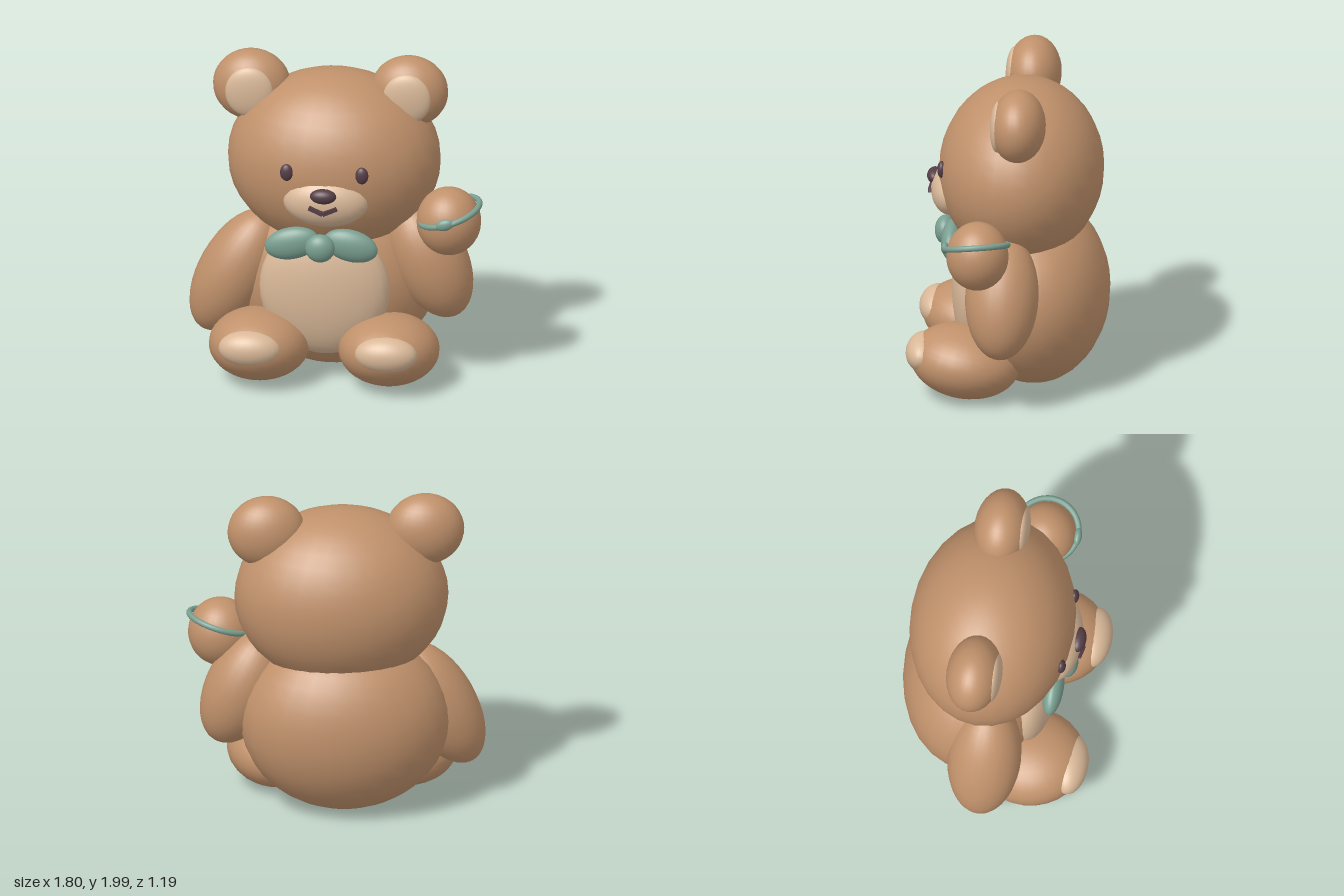
import * as THREE from 'three';

const paint = (name, color) => {
  const m = new THREE.MeshStandardMaterial({ color });
  m.name = name;
  return m;
};

export function createModel() {
  const fur = paint('brown fur', 0xc0916b);
  const cream = paint('cream plush', 0xd9b898);
  const dark = paint('dark plum', 0x553e46);
  const green = paint('sage green', 0x7a9f91);

  const bear = new THREE.Group();
  bear.name = 'teddyBear';

  const add = (name, geometry, material, pos, rot = [0, 0, 0]) => {
    const mesh = new THREE.Mesh(geometry, material);
    mesh.name = name;
    mesh.position.set(...pos);
    mesh.rotation.set(...rot);
    bear.add(mesh);
    return mesh;
  };
  // Stuffed part: an ellipsoid given by centre, radii and rotation
  const puff = (name, material, pos, radii, rot) =>
    add(name, new THREE.SphereGeometry(1, 28, 20).scale(...radii), material, pos, rot);

  // Torso and head
  puff('body', fur, [-0.05, 0.57, -0.15], [0.63, 0.56, 0.447]);
  puff('belly', cream, [-0.055, 0.6, 0.2], [0.395, 0.42, 0.155]);
  puff('head', fur, [-0.03, 1.35, -0.065], [0.645, 0.55, 0.497]);

  // Face
  puff('muzzle', cream, [-0.027, 1.217, 0.35], [0.26, 0.16, 0.13]);
  puff('nose', dark, [-0.03, 1.285, 0.46], [0.08, 0.046, 0.046]);

  // Paired parts, side -1 is the model's right
  for (const side of [-1, 1]) {
    const label = side < 0 ? 'right' : 'left';

    const earX = -0.056 + side * 0.478;
    puff(label + 'Ear', fur, [earX, 1.78, -0.09], [0.235, 0.222, 0.166]);
    puff(label + 'InnerEar', cream, [earX, 1.772, 0.03], [0.148, 0.158, 0.05]);

    puff(label + 'Eye', dark, [-0.032 + side * 0.228, 1.405, 0.395], [0.04, 0.053, 0.027]);
    add(label + 'Mouth', new THREE.BoxGeometry(0.092, 0.025, 0.025), dark,
      [-0.03 + side * 0.042, 1.199, 0.483], [0, side * 0.15, side * 0.38]);

    puff(label + 'Leg', fur, [-0.052 + side * 0.393, 0.24, 0.24], [0.305, 0.22, 0.335], [-0.15, 0, 0]);
    puff(label + 'FootPad', cream, [-0.058 + side * 0.413, 0.295, 0.49], [0.19, 0.112, 0.106], [-0.15, 0, 0]);

    puff(label + 'BowLoop', green, [-0.057 + side * 0.178, 0.932, 0.343], [0.168, 0.1, 0.062], [0, 0, -side * 0.24]);
  }
  puff('bowKnot', green, [-0.057, 0.928, 0.4], [0.09, 0.088, 0.062]);

  // Lowered right arm, raised left arm with its paw
  puff('rightArm', fur, [-0.62, 0.61, -0.01], [0.222, 0.428, 0.222], [0, 0, -0.49]);
  puff('leftArm', fur, [0.56, 0.735, -0.005], [0.226, 0.382, 0.222], [0, 0, 0.43]);
  puff('leftPaw', fur, [0.69, 1.04, 0.13], [0.195, 0.21, 0.188]);

  // Bracelet around the raised paw
  const ring = new THREE.TorusGeometry(0.19, 0.018, 12, 40).rotateX(Math.PI / 2);
  add('bracelet', ring, green, [0.695, 1.1, 0.137], [0.1, 0, 0.3]);
  puff('braceletBead', green, [0.69, 1.085, 0.325], [0.056, 0.035, 0.025], [0, 0, 0.3]);

  return bear;
}
